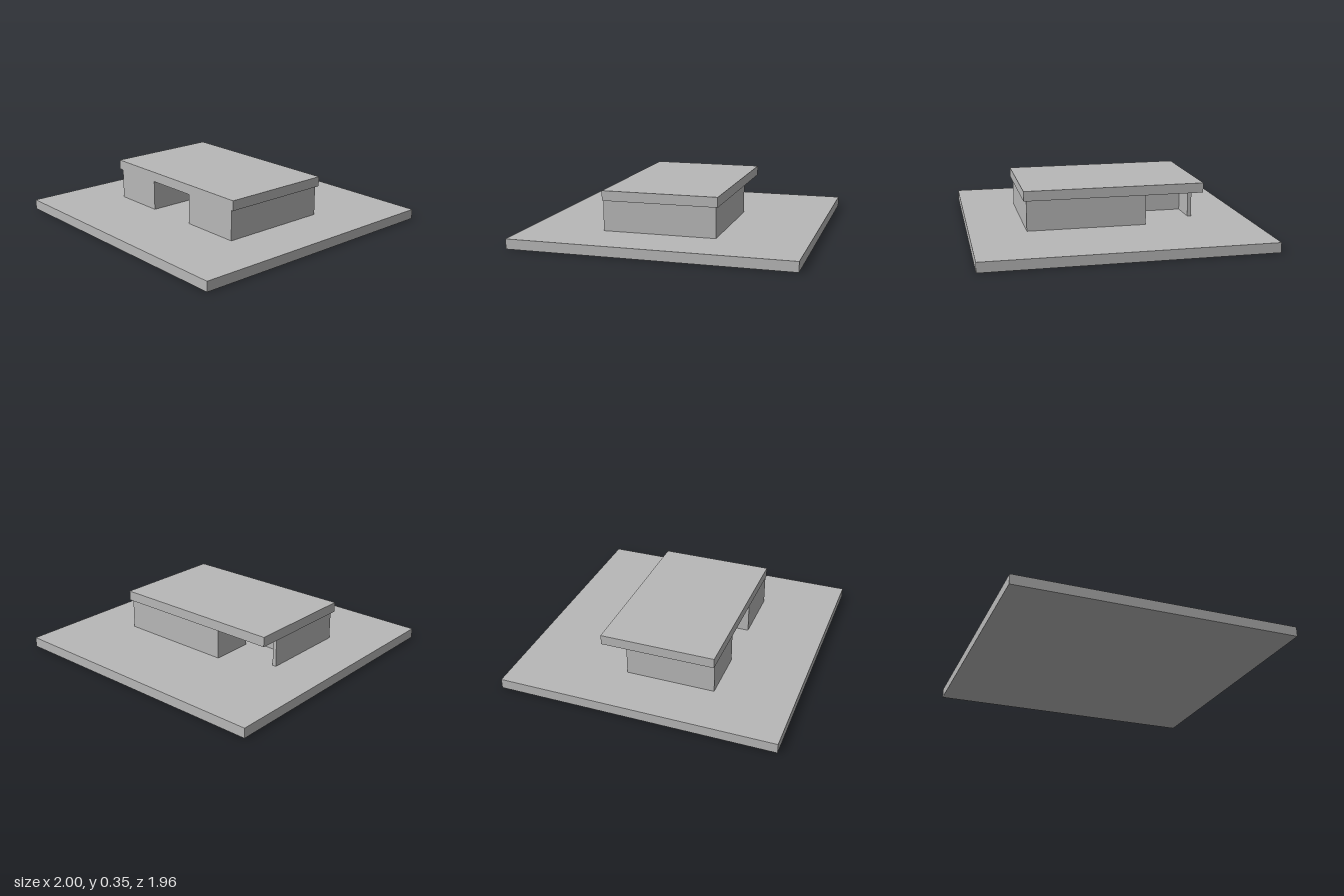
import * as THREE from 'three';

export function createModel() {
  const model = new THREE.Group();
  model.name = 'pavilion';
  const grey = new THREE.MeshStandardMaterial({ color: 0xb8b8b8 });
  grey.name = 'plain grey';

  // Box given by its lower and upper limits on each axis
  function block(name, [x0, x1], [y0, y1], [z0, z1]) {
    const mesh = new THREE.Mesh(new THREE.BoxGeometry(x1 - x0, y1 - y0, z1 - z0), grey);
    mesh.position.set((x0 + x1) / 2, (y0 + y1) / 2, (z0 + z1) / 2);
    mesh.name = name;
    model.add(mesh);
  }

  // Ground slab and overhanging flat roof
  block('groundSlab', [-1, 1], [0, 0.07], [-0.98, 0.98]);
  block('roof', [-0.655, 0.625], [0.285, 0.355], [-0.375, 0.44]);

  // Rooms between slab and roof, leaving a passage from front to back
  const wall = [0.07, 0.285];
  block('frontRightRoom', [-0.625, -0.235], wall, [0.01, 0.435]);
  block('passagePier', [-0.235, -0.18], wall, [0.01, 0.1]);
  block('sideScreenWall', [-0.625, -0.597], wall, [-0.2, 0.01]);
  block('frontLeftRoom', [0.165, 0.605], wall, [0.11, 0.437]);
  block('middleLeftRoom', [0.125, 0.605], wall, [-0.06, 0.11]);
  block('backRoom', [-0.24, 0.605], wall, [-0.36, -0.06]);

  return model;
}
